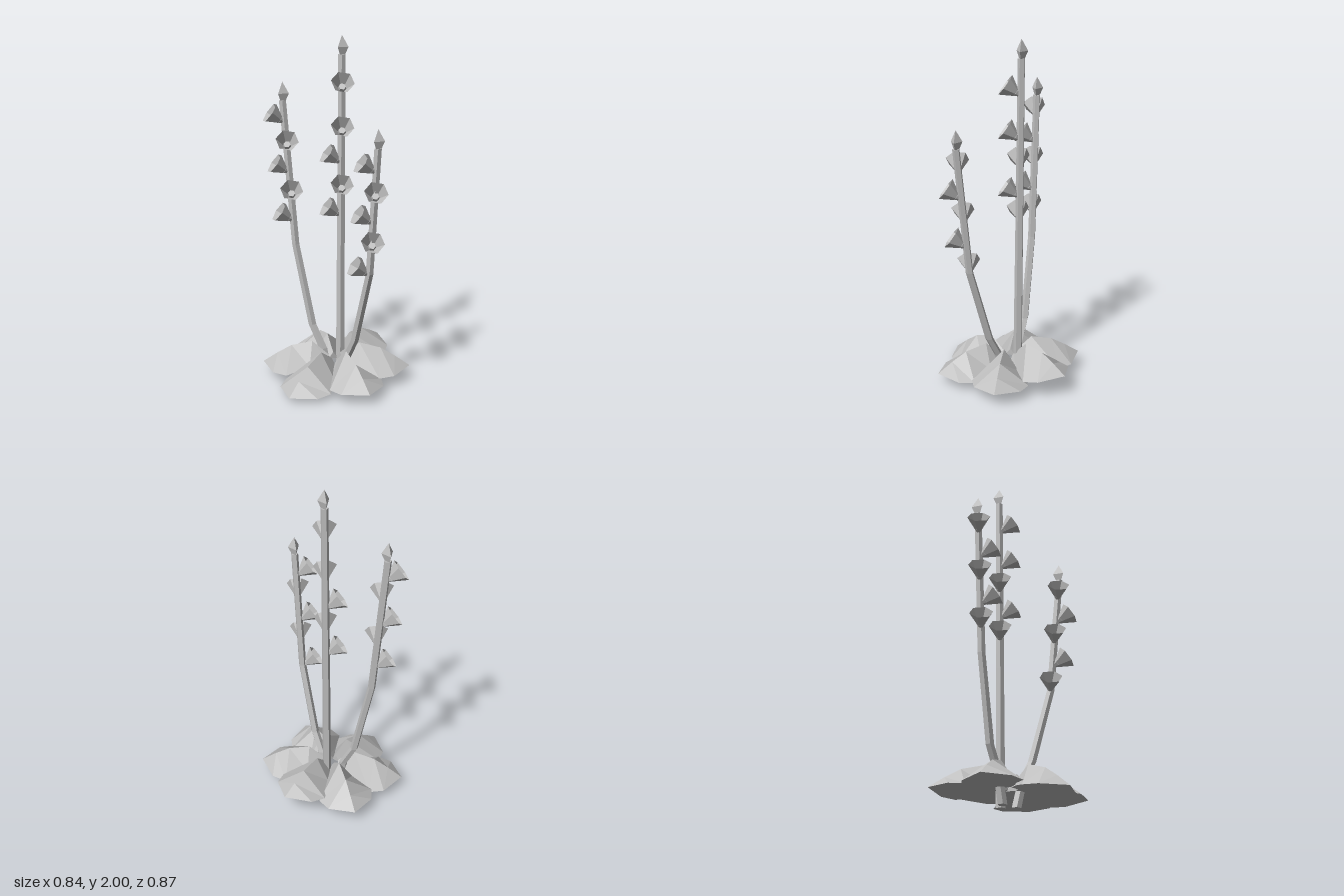
import * as THREE from 'three';

const grey = new THREE.MeshStandardMaterial({ color: 0xbfbfbf });
grey.name = 'plain grey';
const greyOpen = grey.clone();
greyOpen.name = 'plain grey';
greyOpen.side = THREE.DoubleSide;

const V = (x, y, z) => new THREE.Vector3(x, y, z);

// Skin a row of closed cross-sections with flat faces and capped ends
function loft(rings) {
  const p = [];
  const tri = (a, b, c) => p.push(...a, ...b, ...c);
  const n = rings[0].length;
  for (let k = 0; k < rings.length - 1; k++) {
    const a = rings[k], b = rings[k + 1];
    for (let i = 0; i < n; i++) {
      const j = (i + 1) % n;
      tri(a[i], a[j], b[j]);
      if (b[i].distanceTo(b[j]) > 1e-6) tri(a[i], b[j], b[i]);
    }
  }
  const first = rings[0], last = rings[rings.length - 1];
  for (let i = 1; i < n - 1; i++) {
    tri(first[0], first[i + 1], first[i]);
    if (last[0].distanceTo(last[i]) > 1e-6) tri(last[0], last[i], last[i + 1]);
  }
  const g = new THREE.BufferGeometry();
  g.setAttribute('position', new THREE.Float32BufferAttribute(p, 3));
  g.computeVertexNormals();
  return g;
}

function part(name, geometry, material = grey) {
  const m = new THREE.Mesh(geometry.index ? geometry.toNonIndexed() : geometry, material);
  m.geometry.computeVertexNormals();
  m.name = name;
  return m;
}

// Horizontal polygon around a point
const ring = (c, r, sides, turn = 0) => Array.from({ length: sides }, (_, i) => {
  const a = turn + i / sides * Math.PI * 2;
  return V(c.x + r * Math.cos(a), c.y, c.z - r * Math.sin(a));
});

// Arched leaf along +z: distance, half width, edge height, ridge height
const leafSections = [
  [0.04, 0.03, 0.09, 0.13],
  [0.14, 0.085, 0.07, 0.2],
  [0.265, 0.165, 0.032, 0.155],
  [0.35, 0.135, 0.026, 0.095],
  [0.437, 0, 0.025, 0.025],
];

function leaf(angle, lift) {
  const m = part('leaf', loft(leafSections.map(([d, w, edge, ridge]) => {
    const up = lift * d / 0.437;
    return [V(w, edge + up, d), V(0, ridge + up, d), V(-w, edge + up, d), V(0, edge + up, d)];
  })));
  m.rotation.y = THREE.MathUtils.degToRad(angle);
  return m;
}

// Bell flower: open six-sided cone facing outward, forward and up
function flower(apex, side) {
  const g = new THREE.Group();
  g.name = 'flower';
  const bell = part('bell', new THREE.CylinderGeometry(0.066, 0.002, 0.106, 6, 1, true), greyOpen);
  bell.position.y = 0.053;
  const heart = part('flowerHeart', new THREE.CylinderGeometry(0.02, 0.024, 0.022, 6));
  heart.position.y = 0.045;
  g.add(bell, heart);
  g.position.copy(apex);
  g.quaternion.setFromUnitVectors(V(0, 1, 0), V(side * 0.058, 0.066, 0.068).normalize());
  return g;
}

// Point on a stem path at a given height
function pointAt(path, y) {
  let k = 0;
  while (k < path.length - 2 && path[k + 1].y < y) k++;
  const a = path[k], b = path[k + 1];
  return a.clone().lerp(b, (y - a.y) / (b.y - a.y));
}

// Flower stalk with a pointed bud; flowers are [height, side]
function stalk(name, path, flowers) {
  const g = new THREE.Group();
  g.name = name;
  const n = path.length - 1;
  g.add(part('stem', loft(path.map((c, i) => ring(c, 0.027 - 0.006 * i / n, 5, 0.3)))));
  const top = path[n];
  const at = (dy) => V(top.x, top.y + dy, top.z);
  g.add(part('bud', loft([ring(at(-0.01), 0.014, 3, 0.5), ring(at(0.04), 0.037, 3, 0.5), ring(at(0.105), 0, 3)])));
  for (const [y, side] of flowers) g.add(flower(pointAt(path, y), side));
  return g;
}

export function createModel() {
  const model = new THREE.Group();
  model.name = 'floweringPlant';

  // Rosette of six leaves
  model.add(leaf(0, 0), leaf(180, 0.105));
  for (const s of [1, -1]) model.add(leaf(s * 62.5, 0.04), leaf(s * 122.4, 0.058));

  // Three stalks
  model.add(stalk('middleStalk',
    [V(-0.012, 0, -0.063), V(-0.014, 0.8, -0.07), V(-0.016, 1.895, -0.08)],
    [[1.69, 1], [1.445, 1], [1.28, -1], [1.115, 1], [0.97, -1]]));
  model.add(stalk('rightStalk',
    [V(-0.055, 0, 0), V(-0.09, 0.16, 0.003), V(-0.16, 0.3, 0.015), V(-0.255, 0.79, 0.047), V(-0.318, 1.63, 0.073)],
    [[1.5, -1], [1.355, 1], [1.21, -1], [1.07, 1], [0.925, -1]]));
  model.add(stalk('leftStalk',
    [V(0.045, 0, 0), V(0.085, 0.15, 0.003), V(0.148, 0.27, 0.015), V(0.27, 0.71, 0.047), V(0.335, 1.435, 0.073)],
    [[1.295, -1], [1.145, 1], [1.005, -1], [0.86, 1], [0.7, -1]]));

  return model;
}
